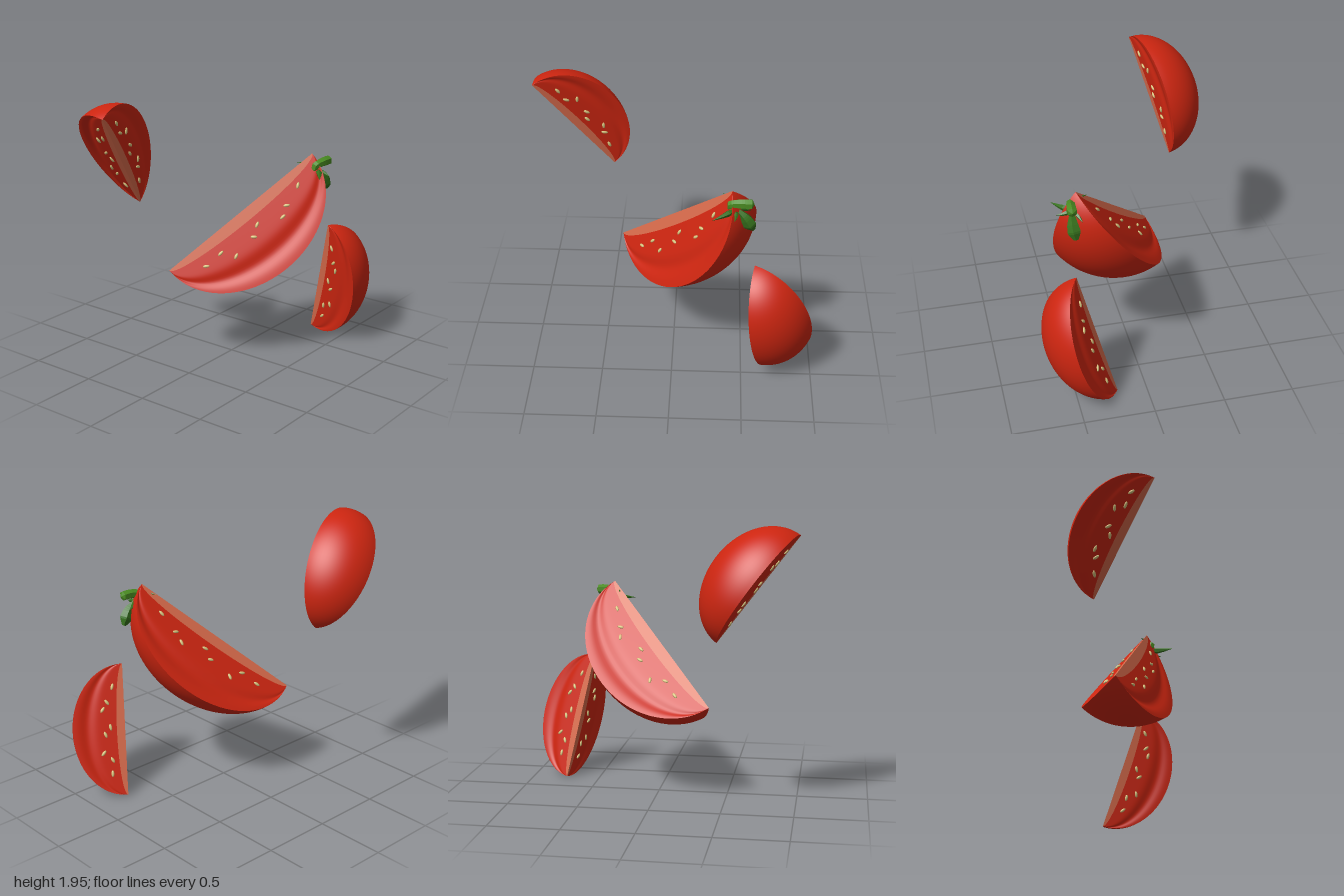
import * as THREE from 'three';

const mat = (name, color, flatShading = false) => {
  const m = new THREE.MeshStandardMaterial({ color, side: THREE.DoubleSide, flatShading });
  m.name = name;
  return m;
};
const V = (x, y, z) => new THREE.Vector3(x, y, z);

const SPREAD = THREE.MathUtils.degToRad(76); // opening angle of a wedge
const FAT = 0.79;                            // radius relative to half length
const CORE = 0.16;                           // pale share of each cut face

// Grid surface: rule(u, v) gives a point, the front is du x dv
function surface(nu, nv, rule) {
  const g = new THREE.PlaneGeometry(1, 1, nu, nv);
  const p = g.attributes.position;
  for (let i = 0; i < p.count; i++) {
    p.setXYZ(i, ...rule(p.getX(i) + 0.5, p.getY(i) + 0.5));
  }
  g.computeVertexNormals();
  return g;
}

// Rounded outer skin, a slice of an ellipsoid
const skinGeometry = surface(48, 20, (u, v) => {
  const r = FAT * Math.sin(Math.PI * u), a = -SPREAD * v;
  return [r * Math.cos(a), r * Math.sin(a), -Math.cos(Math.PI * u)];
});

// Point on a cut face; side 0 is the first cut, side 1 the second
function cutPoint(side, u, s, lift = 0) {
  const a = -SPREAD * side, out = side ? -1 : 1;
  const w = Math.sin(Math.PI * u), r = FAT * w * s;
  const h = lift - 0.03 * w * Math.exp(-(((s - 0.72) / 0.12) ** 2)); // shallow groove
  return [
    r * Math.cos(a) - out * h * Math.sin(a),
    r * Math.sin(a) + out * h * Math.cos(a),
    -Math.cos(Math.PI * u),
  ];
}
const cutGeometry = (side, s0, s1, n) => surface(48, n, (u, v) =>
  cutPoint(side, side ? 1 - u : u, s0 + (s1 - s0) * v));

// Seeds as [position along the axis, distance from the axis]
const SEEDS = [[-0.66, 0.22], [-0.45, 0.21], [-0.34, 0.34], [-0.06, 0.3],
  [0.05, 0.22], [0.32, 0.33], [0.43, 0.26], [0.66, 0.17]];
const seedGeometry = new THREE.SphereGeometry(1, 10, 6);

// One wedge between two axis ends; normal is the way its first cut faces
function wedge(name, low, high, normal, mats) {
  const group = new THREE.Group();
  group.name = name;
  const u = high.clone().sub(low);
  const half = u.length() / 2;
  u.normalize();
  const n = normal.clone().addScaledVector(u, -normal.dot(u)).normalize();
  const e = n.clone().cross(u);
  group.quaternion.setFromRotationMatrix(new THREE.Matrix4().makeBasis(e, n, u));
  group.position.copy(low).add(high).multiplyScalar(0.5);
  group.scale.setScalar(half);

  const add = (part, geometry, material) => {
    const m = new THREE.Mesh(geometry, material);
    m.name = part;
    group.add(m);
    return m;
  };
  add('skin', skinGeometry, mats.red);
  for (const side of [0, 1]) {
    add('cutFlesh', cutGeometry(side, CORE, 1, 24), mats.red);
    add('paleCore', cutGeometry(side, 0, CORE, 3), mats.pale);
    SEEDS.forEach(([z, r], i) => {
      const t = Math.acos(-z) / Math.PI;
      const seed = add('seed', seedGeometry, mats.seed);
      seed.position.set(...cutPoint(side, t, r / (FAT * Math.sin(Math.PI * t)), 0.006));
      seed.rotation.set(0, Math.sin(i * 2.3 + side) * 0.7, -SPREAD * side, 'ZYX');
      seed.scale.set(0.011, 0.009, 0.025).divideScalar(half);
    });
  }
  return group;
}

// Faceted tube whose width follows a list of radii
function taperedTube(name, points, radii, material, sides = 6) {
  const steps = 14;
  const curve = new THREE.CatmullRomCurve3(points);
  const g = new THREE.TubeGeometry(curve, steps, 1, sides, false);
  const p = g.attributes.position;
  const v = new THREE.Vector3();
  for (let i = 0; i < p.count; i++) {
    const t = Math.floor(i / (sides + 1)) / steps;
    const f = t * (radii.length - 1), k = Math.min(Math.floor(f), radii.length - 2);
    const c = curve.getPointAt(t);
    v.fromBufferAttribute(p, i).sub(c)
      .multiplyScalar(THREE.MathUtils.lerp(radii[k], radii[k + 1], f - k)).add(c);
    p.setXYZ(i, v.x, v.y, v.z);
  }
  g.computeVertexNormals();
  const m = new THREE.Mesh(g, material);
  m.name = name;
  return m;
}

export function createModel() {
  const model = new THREE.Group();
  model.name = 'slicedTomato';
  const mats = {
    red: mat('tomatoRed', 0xcc2510),
    pale: mat('paleFlesh', 0xd4694a),
    seed: mat('seedCream', 0xd6c27c),
  };
  const stalkGreen = mat('stalkGreen', 0x4a8c22, true);
  const leafGreen = mat('leafGreen', 0x35701c, true);

  // Three floating wedges
  model.add(
    wedge('largeWedge', V(-0.39, 0.68, -0.26), V(0.4, 1.48, 0.41), V(0.05, 0.62, -0.78), mats),
    wedge('upperWedge', V(-1, 1.88, -0.28), V(-0.46, 1.17, -0.46), V(0.2, -0.1, 0.97), mats),
    wedge('lowerWedge', V(0.74, 0.01, 0.21), V(0.57, 0.91, 0.45), V(0.46, 0.31, -0.83), mats),
  );

  // Stalk and leaves at the tip of the large wedge
  const stem = new THREE.Group();
  stem.name = 'stem';
  stem.add(taperedTube('stalk',
    [V(0.42, 1.34, 0.43), V(0.39, 1.39, 0.44), V(0.46, 1.41, 0.455), V(0.55, 1.41, 0.46)],
    [0.02, 0.024, 0.026, 0.028, 0.029, 0.03, 0.031, 0.032, 0.033, 0.034, 0.035, 0.035, 0.035, 0.035, 0],
    stalkGreen));
  const leaves = [
    [[V(0.43, 1.36, 0.44), V(0.36, 1.35, 0.5), V(0.27, 1.34, 0.56)], [0.012, 0.022, 0.012, 0]],
    [[V(0.43, 1.36, 0.44), V(0.49, 1.3, 0.45), V(0.55, 1.2, 0.44)], [0.015, 0.025, 0.04, 0.048, 0.015]],
    [[V(0.43, 1.37, 0.43), V(0.37, 1.41, 0.38), V(0.34, 1.41, 0.32)], [0.01, 0.014, 0.008, 0]],
    [[V(0.42, 1.36, 0.44), V(0.46, 1.35, 0.42), V(0.53, 1.32, 0.39)], [0.012, 0.02, 0.012, 0]],
    [[V(0.42, 1.35, 0.44), V(0.43, 1.34, 0.5), V(0.42, 1.33, 0.55)], [0.012, 0.018, 0.01, 0]],
  ];
  for (const [points, radii] of leaves) {
    stem.add(taperedTube('leaf', points, radii, leafGreen, 5));
  }
  model.add(stem);
  return model;
}
